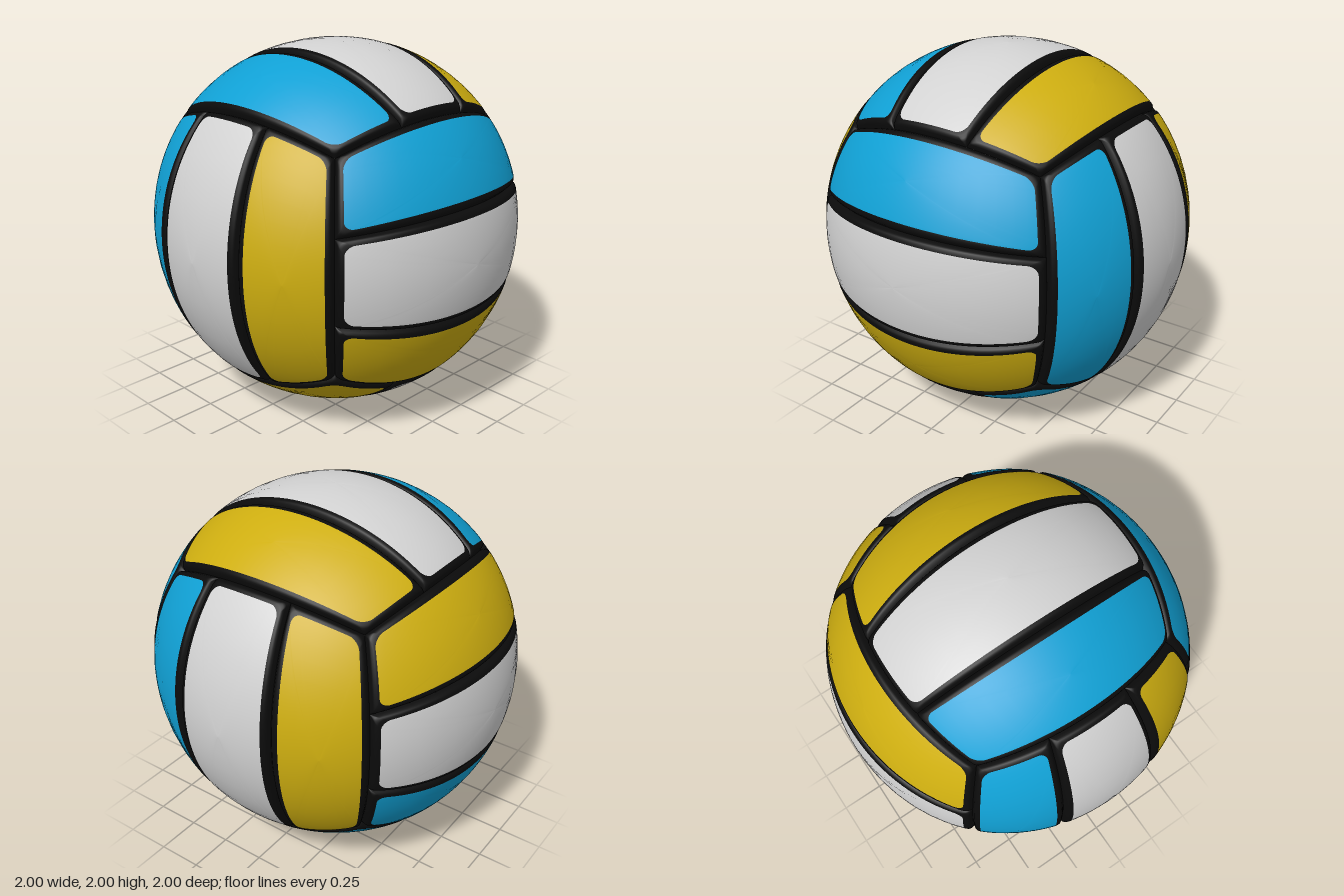
import * as THREE from 'three';

const mat = (name, color) => {
  const m = new THREE.MeshStandardMaterial({ color });
  m.name = name;
  return m;
};

const QUARTER = Math.PI / 4;
const EDGE = 0.045; // width of the dark border round each panel

// Seam between strips of one face, as an angle, at u along the strip
const seam = (u) => Math.atan(0.3 + 0.03 * u * u);

// Points of a rounded rectangle, anticlockwise, same count for every size
function roundedLoop(a, b, r) {
  const pts = [];
  const corners = [[1, -1], [1, 1], [-1, 1], [-1, -1]];
  corners.forEach(([sx, sy], i) => {
    const cx = sx * (a - r), cy = sy * (b - r);
    for (let k = 0; k <= 8; k++) {
      const t = (i - 1 + k / 8) * Math.PI / 2;
      pts.push([cx + r * Math.cos(t), cy + r * Math.sin(t)]);
    }
    // straight side to the next corner
    const [nx, ny] = corners[(i + 1) % 4];
    const t = i * Math.PI / 2;
    const from = [cx + r * Math.cos(t), cy + r * Math.sin(t)];
    const to = [nx * (a - r) + r * Math.cos(t), ny * (b - r) + r * Math.sin(t)];
    const n = i % 2 ? 32 : 14;
    for (let k = 1; k < n; k++) {
      pts.push([from[0] + (to[0] - from[0]) * k / n, from[1] + (to[1] - from[1]) * k / n]);
    }
  });
  return pts;
}

// One puffed strip: row is -1, 0 or 1 across the face
function panelGeometry(n, e, w, row) {
  const a = QUARTER, b = row === 0 ? 0.29 : 0.247;
  // rings: border inset, drop into the groove, corner radius
  const border = [[0, 0.035, 0.003], [0.006, 0.024, 0.01], [0.013, 0.012, 0.02],
    [0.021, 0.004, 0.03], [0.032, 0.001, 0.04], [EDGE, 0, 0.055]];
  const rings = border.map(([d, drop, r]) => ({ pts: roundedLoop(a - d, b - d, r), drop }));
  const rim = rings[rings.length - 1].pts;
  for (const f of [0.94, 0.85, 0.73, 0.6, 0.45, 0.3, 0.15, 0]) {
    rings.push({ pts: rim.map(([p, q]) => [p * f, q * f]), drop: 0 });
  }

  const pos = [], index = [], count = rim.length, v3 = new THREE.Vector3();
  for (const { pts, drop } of rings) {
    for (const [p, q] of pts) {
      const u = Math.tan(p), s = seam(u);
      const lo = row === 1 ? s : row === 0 ? -s : -QUARTER;
      const hi = row === 1 ? QUARTER : row === 0 ? s : -s;
      const v = Math.tan(lo + (hi - lo) * (q / b + 1) / 2);
      v3.copy(n).addScaledVector(e, u).addScaledVector(w, v).normalize();
      // very slightly fuller towards the corners
      const full = 0.02 * (1 - v3.x ** 4 - v3.y ** 4 - v3.z ** 4);
      v3.multiplyScalar(1 + full - drop);
      pos.push(v3.x, v3.y, v3.z);
    }
  }
  for (let r = 0; r < rings.length - 1; r++) {
    for (let i = 0; i < count; i++) {
      const j = (i + 1) % count, o = r * count, c = o + count;
      index.push(o + i, o + j, c + j, o + i, c + j, c + i);
    }
  }
  const geo = new THREE.BufferGeometry();
  geo.setAttribute('position', new THREE.Float32BufferAttribute(pos, 3));
  geo.setIndex(index);
  geo.computeVertexNormals();
  const split = (border.length - 1) * count * 6;
  geo.addGroup(0, split, 0);
  geo.addGroup(split, index.length - split, 1);
  return geo;
}

export function createModel() {
  const black = mat('seamBlack', 0x0b0b0b);
  const white = mat('panelWhite', 0xd2d2d2);
  const blue = mat('panelBlue', 0x10a0d4);
  const yellow = mat('panelYellow', 0xceae10);

  const ball = new THREE.Group();
  ball.name = 'ball';
  const X = new THREE.Vector3(1, 0, 0), Y = new THREE.Vector3(0, 1, 0), Z = new THREE.Vector3(0, 0, 1);

  // Face normal, strip direction, direction across, colour on the positive side
  const faces = [
    ['front', 'back', Z, X, Y, blue, yellow],
    ['top', 'bottom', Y, Z, X, yellow, blue],
    ['left', 'right', X, Y, Z, blue, yellow],
  ];
  for (const [nameA, nameB, n, e, w, plus, minus] of faces) {
    for (const s of [1, -1]) {
      const face = new THREE.Group();
      face.name = (s > 0 ? nameA : nameB) + 'Panels';
      for (const row of [-1, 0, 1]) {
        const color = row === 0 ? white : row * s > 0 ? plus : minus;
        const geo = panelGeometry(n.clone().multiplyScalar(s), e.clone().multiplyScalar(s), w, row);
        const mesh = new THREE.Mesh(geo, [black, color]);
        mesh.name = row === 0 ? 'middlePanel' : 'sidePanel';
        face.add(mesh);
      }
      ball.add(face);
    }
  }

  // Dark core under the grooves
  const core = new THREE.Mesh(new THREE.SphereGeometry(0.955, 48, 32), black);
  core.name = 'core';
  ball.add(core);

  ball.position.y = 1;
  const model = new THREE.Group();
  model.name = 'volleyball';
  model.add(ball);
  return model;
}
